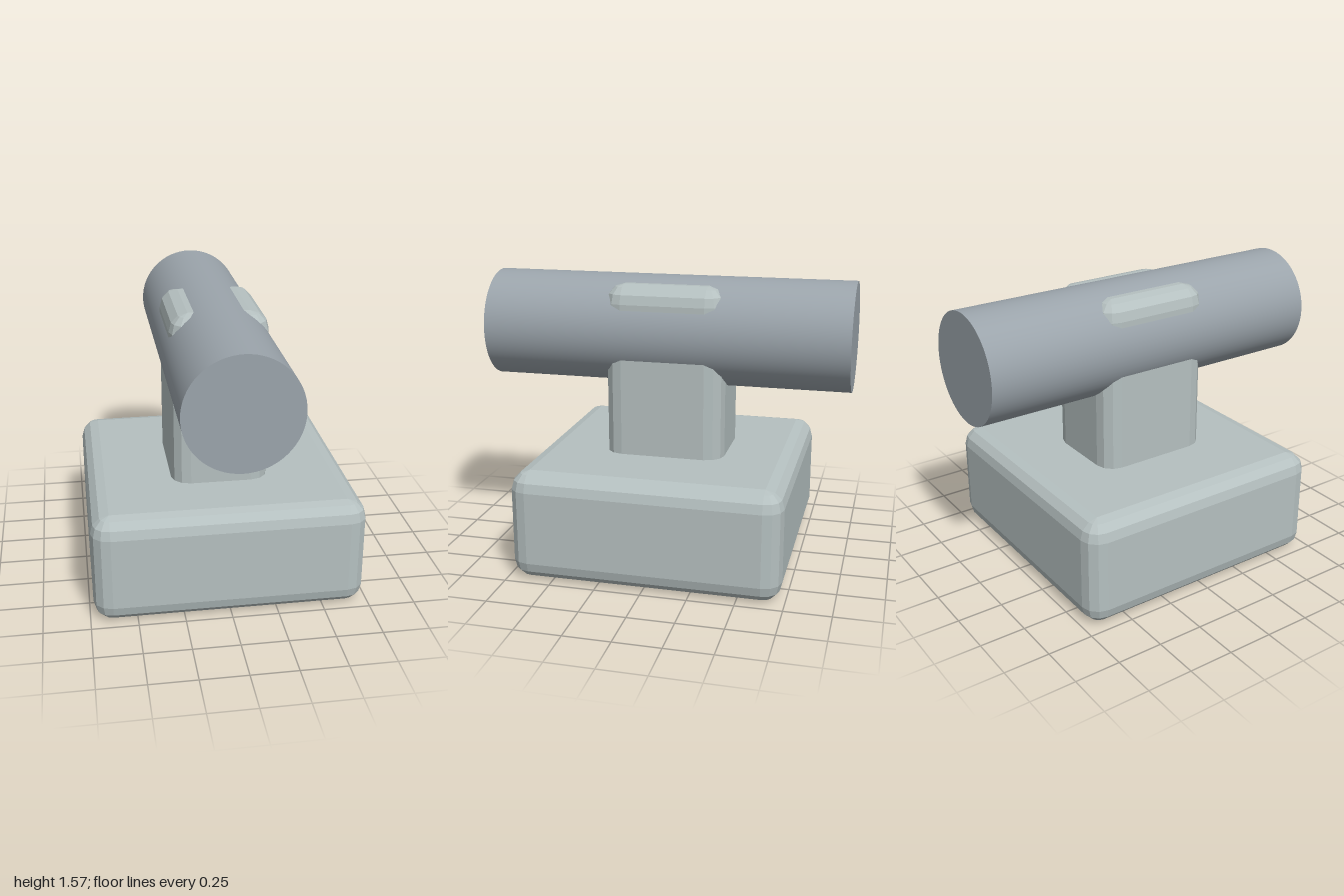
import * as THREE from 'three';
import { ConvexGeometry } from 'three/addons/geometries/ConvexGeometry.js';

// Box with edges and corners rounded in three flat facets, spanning y0 to y1
function bevelledBox(name, width, depth, y0, y1, radius, material) {
  const points = [];
  const steps = 3;
  const height = y1 - y0;
  for (const sx of [-1, 1]) for (const sy of [-1, 1]) for (const sz of [-1, 1]) {
    for (let i = 0; i <= steps; i++) {
      const lat = (i / steps) * Math.PI / 2;
      const turns = i === steps ? 0 : steps;
      for (let j = 0; j <= turns; j++) {
        const lon = (j / steps) * Math.PI / 2;
        points.push(new THREE.Vector3(
          sx * (width / 2 - radius + radius * Math.cos(lat) * Math.cos(lon)),
          sy * (height / 2 - radius + radius * Math.sin(lat)),
          sz * (depth / 2 - radius + radius * Math.cos(lat) * Math.sin(lon))
        ));
      }
    }
  }
  const mesh = new THREE.Mesh(new ConvexGeometry(points), material);
  mesh.name = name;
  mesh.position.y = (y0 + y1) / 2;
  return mesh;
}

export function createModel() {
  const model = new THREE.Group();
  model.name = 'model';
  const stone = new THREE.MeshStandardMaterial({ color: 0xb5c0c0, flatShading: true });
  const metal = new THREE.MeshStandardMaterial({ color: 0x9ba4ab });

  // Wide foot and the post rising from inside it
  model.add(bevelledBox('base', 1.46, 1.46, 0, 0.6, 0.1, stone));
  model.add(bevelledBox('post', 0.53, 0.66, 0.4, 1.535, 0.1, stone));

  // Horizontal barrel running front to back through the top of the post
  const barrel = new THREE.Mesh(new THREE.CylinderGeometry(0.298, 0.298, 2, 64), metal);
  barrel.name = 'barrel';
  barrel.rotation.x = Math.PI / 2;
  barrel.position.y = 1.268;
  model.add(barrel);

  return model;
}
